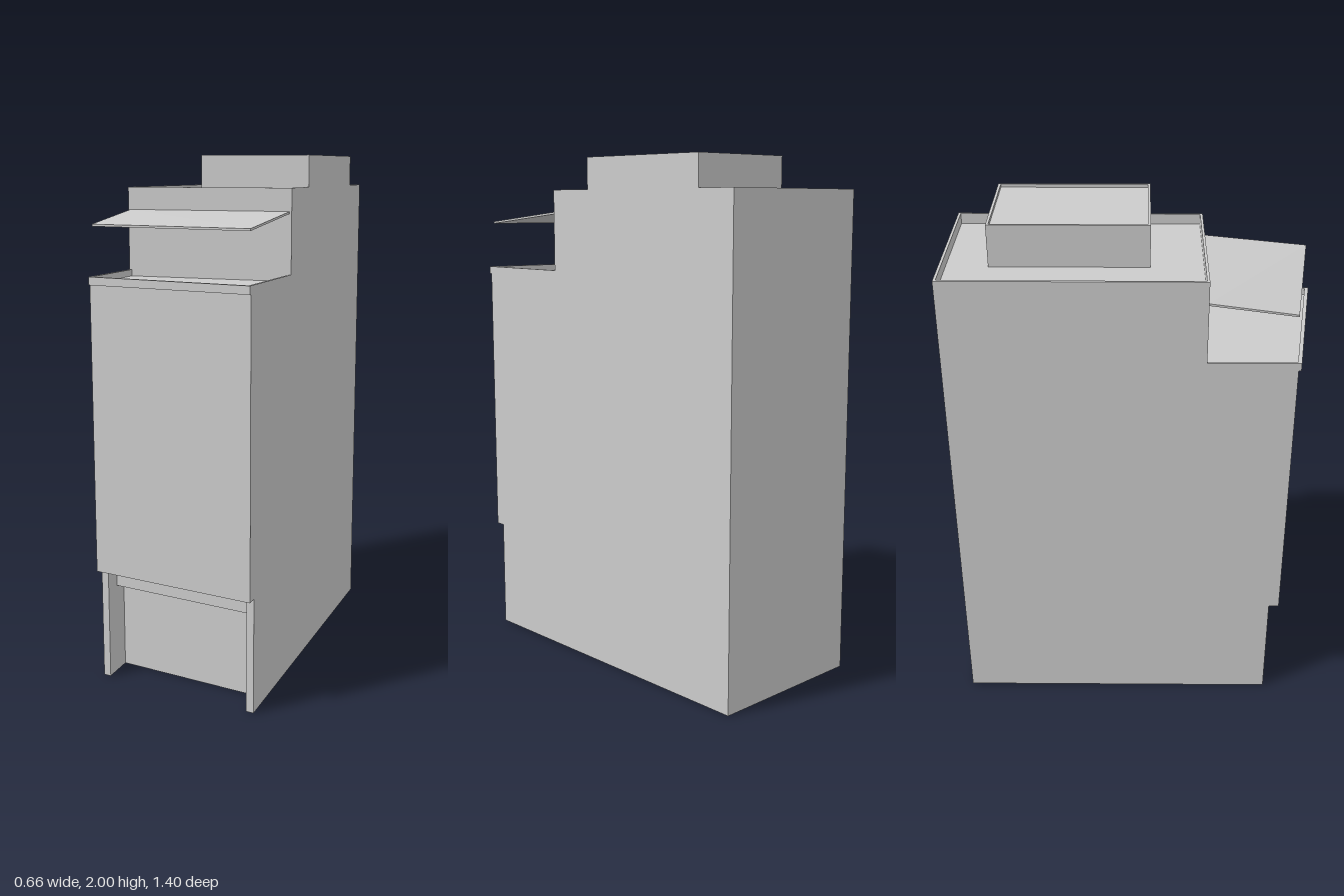
import * as THREE from 'three';

const material = new THREE.MeshStandardMaterial({ color: 0xcccccc, flatShading: true, side: THREE.DoubleSide });

// The street front runs at a slant; z is its value at the middle (x = 0)
const slant = (x, z) => z + (0.1 / 0.66) * x;

// Skin between successive rings of [x, y, z] corners, with optional four-corner caps
function loft(name, rings, { top = true, bottom = false } = {}) {
  const pos = [];
  const quad = (a, b, c, d) => pos.push(...a, ...b, ...c, ...a, ...c, ...d);
  for (let r = 0; r + 1 < rings.length; r++) {
    const lo = rings[r], hi = rings[r + 1], n = lo.length;
    for (let i = 0; i < n; i++) {
      const j = (i + 1) % n;
      quad(lo[i], hi[i], hi[j], lo[j]);
    }
  }
  if (top) {
    const [a, b, c, d] = rings[rings.length - 1];
    quad(a, d, c, b);
  }
  if (bottom) quad(...rings[0]);
  const geo = new THREE.BufferGeometry();
  geo.setAttribute('position', new THREE.Float32BufferAttribute(pos, 3));
  geo.computeVertexNormals();
  const mesh = new THREE.Mesh(geo, material);
  mesh.name = name;
  return mesh;
}

// Rectangular ring at height y
const rect = (x0, x1, z0, z1, y) => [[x0, y, z0], [x1, y, z0], [x1, y, z1], [x0, y, z1]];

// Ring with a straight back and a slanted front
const wedge = (w, z0, z1, y) =>
  [[-w, y, z0], [w, y, z0], [w, y, slant(w, z1)], [-w, y, slant(-w, z1)]];

// Walls with a thin parapet round a sunken flat roof
function parapetBlock(name, x0, x1, z0, z1, y0, y1, depth, t = 0.01) {
  return loft(name, [
    rect(x0, x1, z0, z1, y0),
    rect(x0, x1, z0, z1, y1),
    rect(x0 + t, x1 - t, z0 + t, z1 - t, y1),
    rect(x0 + t, x1 - t, z0 + t, z1 - t, y1 - depth),
  ]);
}

export function createModel() {
  const group = new THREE.Group();
  group.name = 'building';
  const W = 0.33, IN = 0.30, BACK = -0.70, STEP = 0.26;

  // Floor outline: piers at the corners, with an entrance wall between them
  const outline = (pier, wall, y) => [
    [-W, y, BACK], [W, y, BACK],
    [W, y, slant(W, pier)], [IN, y, slant(IN, pier)],
    [IN, y, slant(IN, wall)], [-IN, y, slant(-IN, wall)],
    [-IN, y, slant(-IN, pier)], [-W, y, slant(-W, pier)],
  ];

  // Recessed entrance, lintel, overhang and main walls; open underneath
  group.add(loft('mainWalls', [
    outline(0.60, 0.47, 0),
    outline(0.60, 0.47, 0.35),
    outline(0.60, 0.53, 0.35),
    outline(0.60, 0.53, 0.44),
    outline(0.64, 0.64, 0.44),
    outline(0.64, 0.64, 1.535),
  ], { top: false }));

  // Cornice and sunken terrace in front of the top storey
  group.add(loft('terrace', [
    wedge(W, STEP, 0.64, 1.535),
    wedge(W, STEP, 0.65, 1.535),
    wedge(W, STEP, 0.65, 1.565),
    wedge(W - 0.01, STEP, 0.635, 1.565),
    wedge(W - 0.01, STEP, 0.635, 1.54),
  ]));

  group.add(parapetBlock('topStorey', -W, W, BACK, STEP, 1.535, 1.88, 0.04));
  group.add(parapetBlock('roofHouse', -0.11, W, -0.535, 0.055, 1.84, 2, 0.012));

  // Thin sloping canopy over the terrace
  const canopyRing = (lift) => wedge(0.322, STEP, 0.627, 0)
    .map(([x, , z], i) => [x, (i < 2 ? 1.787 : 1.745) + lift, z]);
  group.add(loft('canopy', [canopyRing(0), canopyRing(0.008)], { bottom: true }));

  return group;
}
